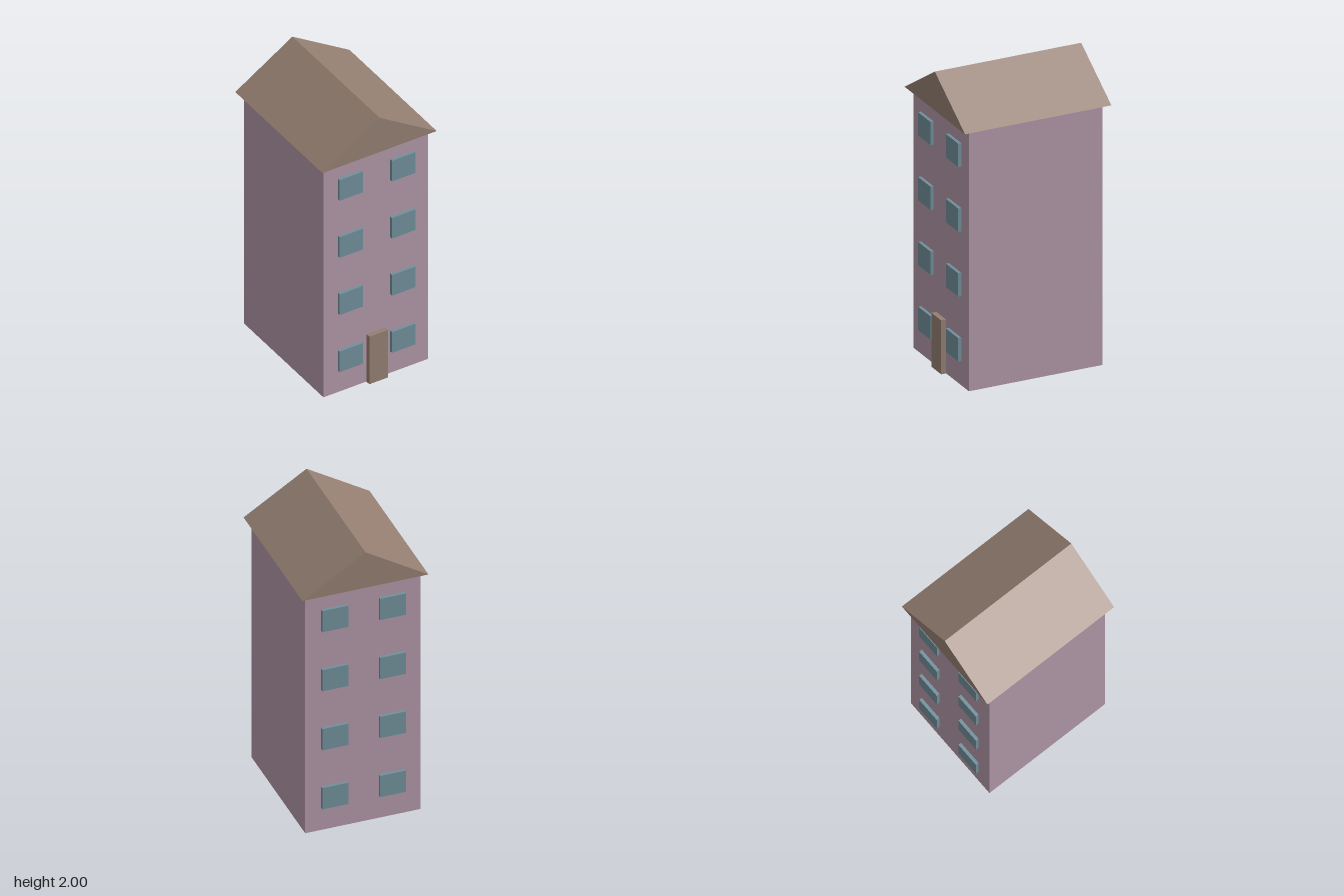
import * as THREE from 'three';

export function createModel() {
  const house = new THREE.Group();
  house.name = 'townHouse';

  const material = (name, color) => {
    const m = new THREE.MeshStandardMaterial({ color });
    m.name = name;
    return m;
  };
  const wallPaint = material('mauveWall', 0xb097a6);
  const brown = material('brownWood', 0x947e71);
  const glass = material('blueGreyGlass', 0x718f9a);

  const box = (name, mat, size, position) => {
    const mesh = new THREE.Mesh(new THREE.BoxGeometry(...size), mat);
    mesh.name = name;
    mesh.position.set(...position);
    house.add(mesh);
  };

  const wallHeight = 1.74, wallHalfDepth = 0.459;

  // Walls
  box('walls', wallPaint, [0.76, wallHeight, 2 * wallHalfDepth], [0, wallHeight / 2, 0]);

  // Gabled roof: a closed triangular prism with the ridge along z
  const gable = new THREE.Shape();
  gable.moveTo(-0.415, wallHeight);
  gable.lineTo(0.415, wallHeight);
  gable.lineTo(0, 2);
  gable.closePath();
  const roofGeometry = new THREE.ExtrudeGeometry(gable, { depth: 1.006, bevelEnabled: false });
  roofGeometry.translate(0, 0, -0.503);
  const roof = new THREE.Mesh(roofGeometry, brown);
  roof.name = 'roof';
  house.add(roof);

  // Door on the front
  box('door', brown, [0.136, 0.36, 0.05], [0, 0.18, 0.468]);

  // Two windows per floor on the front and the back
  for (let floor = 0; floor < 4; floor++) {
    for (const x of [-0.19, 0.19]) {
      for (const side of [1, -1]) {
        box(side > 0 ? 'frontWindow' : 'backWindow', glass,
          [0.171, 0.156, 0.042], [x, 0.241 + floor * 0.4333, side * wallHalfDepth]);
      }
    }
  }

  return house;
}
